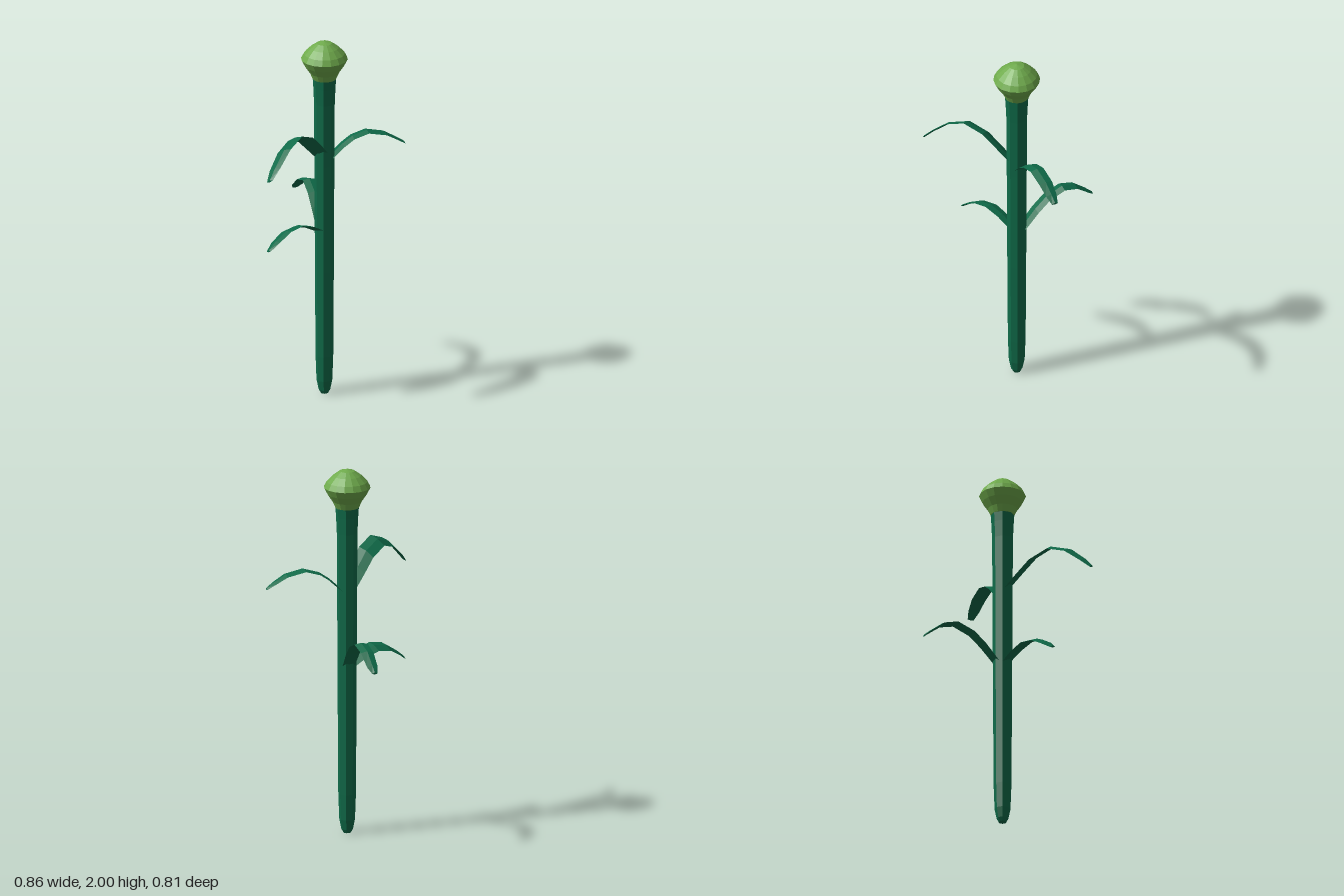
import * as THREE from 'three';

const CX = -0.013, CZ = 0.052; // axis of the stem

const leafGreen = new THREE.MeshStandardMaterial({ color: 0x0f6b49, flatShading: true });
leafGreen.name = 'deep green';
const budGreen = new THREE.MeshStandardMaterial({ color: 0x6fab4c, flatShading: true });
budGreen.name = 'light green';

function lathe(name, profile, sides, material, phase = 0) {
  const pts = profile.map(([r, y]) => new THREE.Vector2(r, y));
  const mesh = new THREE.Mesh(new THREE.LatheGeometry(pts, sides, phase), material);
  mesh.name = name;
  mesh.position.set(CX, 0, CZ);
  return mesh;
}

// Arched blade: rows of [distance from axis, height, half width, sideways shift],
// swept along dir with a thin ridged cross-section; roll lifts one edge.
function leaf(name, dir, roll, rows) {
  const len = Math.hypot(dir[0], dir[1]);
  const dx = dir[0] / len, dz = dir[1] / len;
  const pos = [], idx = [];
  rows.forEach(([s, y, w, shift = 0]) => {
    const section = [[-w, 0], [0, 0.008], [w, 0], [0, -0.004]];
    for (const [a, h] of section) {
      const side = a + shift;
      pos.push(CX + dx * s - dz * side, y + h + a * roll, CZ + dz * s + dx * side);
    }
  });
  for (let i = 0; i < rows.length - 1; i++) {
    for (let j = 0; j < 4; j++) {
      const a = i * 4 + j, b = i * 4 + (j + 1) % 4;
      idx.push(a, b, b + 4, a, b + 4, a + 4);
    }
  }
  const t = (rows.length - 1) * 4; // blunt tip
  idx.push(t, t + 1, t + 2, t, t + 2, t + 3);
  const geo = new THREE.BufferGeometry();
  geo.setAttribute('position', new THREE.Float32BufferAttribute(pos, 3));
  geo.setIndex(idx);
  geo.computeVertexNormals();
  const mesh = new THREE.Mesh(geo, leafGreen);
  mesh.name = name;
  return mesh;
}

export function createModel() {
  const group = new THREE.Group();
  group.name = 'buddingStalk';

  // Stalk with tapered foot and flared neck
  group.add(lathe('stem', [
    [0, 0.005], [0.02, 0.005], [0.031, 0.025], [0.042, 0.08], [0.047, 0.22], [0.05, 0.7],
    [0.053, 1.3], [0.055, 1.65], [0.059, 1.74], [0.063, 1.8], [0, 1.8],
  ], 8, leafGreen, Math.PI / 8));

  // Closed bud
  group.add(lathe('bud', [
    [0, 1.79], [0.063, 1.79], [0.078, 1.825], [0.105, 1.865], [0.124, 1.902],
    [0.108, 1.932], [0.075, 1.965], [0.04, 1.99], [0, 2],
  ], 16, budGreen));

  // Upper leaves
  group.add(leaf('upperLeftLeaf', [1, 0], 0, [
    [0.03, 1.335, 0.036], [0.1, 1.4, 0.038], [0.155, 1.438, 0.038], [0.235, 1.462, 0.038],
    [0.335, 1.44, 0.037], [0.4, 1.402, 0.03], [0.442, 1.374, 0.017],
  ]));
  group.add(leaf('upperRightLeaf', [-0.4, 0.335], -0.5, [
    [0.03, 1.365, 0.04], [0.1, 1.43, 0.044], [0.18, 1.5, 0.045], [0.285, 1.541, 0.045],
    [0.39, 1.505, 0.042], [0.48, 1.43, 0.034], [0.53, 1.38, 0.018],
  ]));

  // Lower leaves
  group.add(leaf('lowerBackLeaf', [0, -1], 0, [
    [0.03, 0.925, 0.034], [0.11, 1.015, 0.037], [0.175, 1.073, 0.037], [0.268, 1.112, 0.036],
    [0.35, 1.087, 0.034, -0.011], [0.425, 1.028, 0.029, -0.018], [0.457, 1, 0.014, -0.022],
  ]));
  group.add(leaf('lowerRightLeaf', [-0.335, 0.135], -0.35, [
    [0.03, 0.93, 0.034], [0.1, 0.968, 0.039], [0.18, 0.993, 0.043], [0.26, 0.98, 0.043],
    [0.33, 0.938, 0.038], [0.378, 0.9, 0.018],
  ]));
  return group;
}
